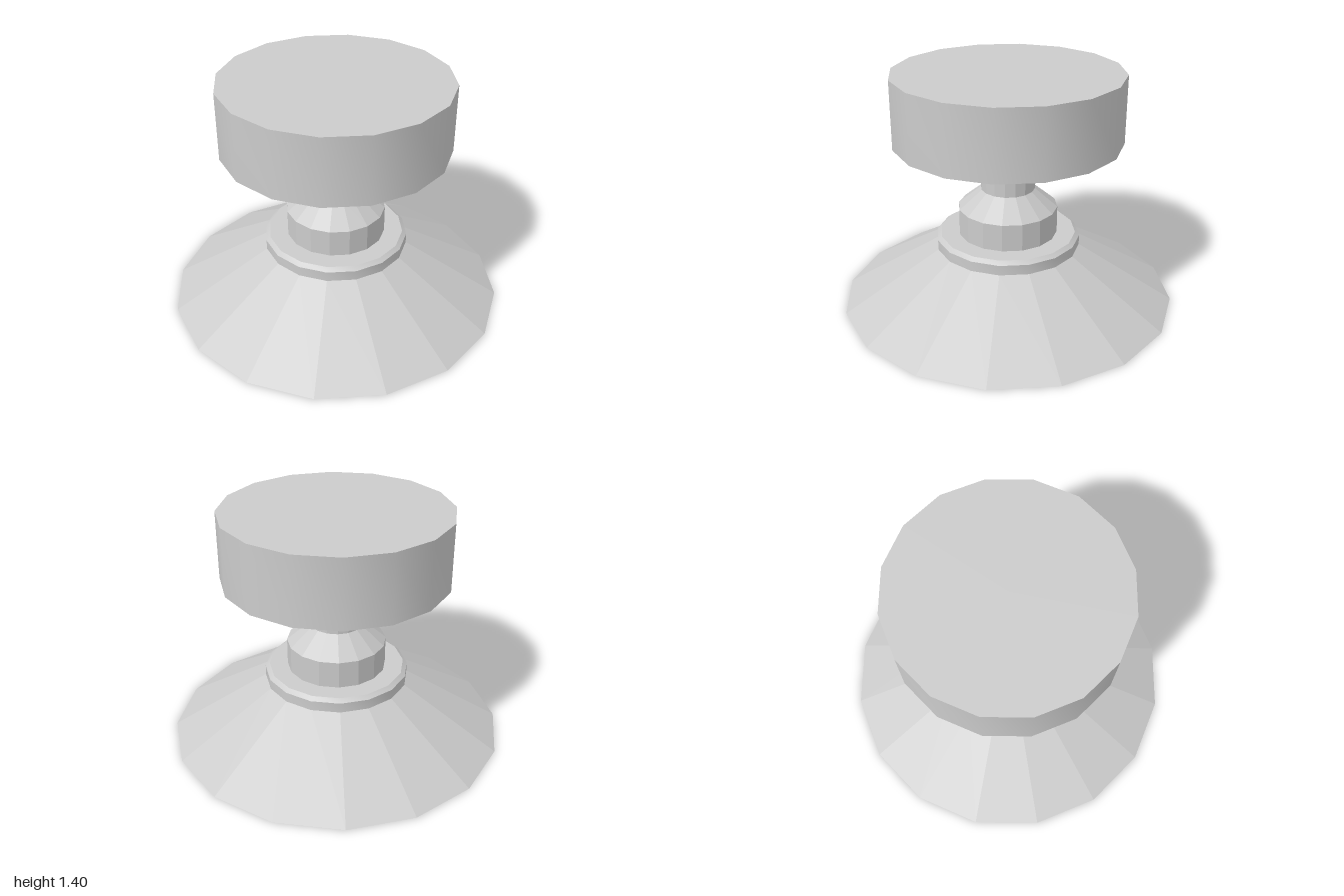
import * as THREE from 'three';
import { toCreasedNormals } from 'three/addons/utils/BufferGeometryUtils.js';

const SIDES = 16;

// Turns a [radius, height] profile, listed from underside to top, around the y axis
function turned(name, profile, smooth) {
  const points = profile.map(([r, y]) => new THREE.Vector2(r, y));
  let geometry = new THREE.LatheGeometry(points, SIDES);
  if (smooth) geometry = toCreasedNormals(geometry, 0.5);
  const material = new THREE.MeshStandardMaterial({ color: 0xcccccc, flatShading: !smooth });
  const mesh = new THREE.Mesh(geometry, material);
  mesh.name = name;
  return mesh;
}

export function createModel() {
  const model = new THREE.Group();
  model.name = 'plunger';
  model.add(
    // Hollow flared cup with a flat rim
    turned('flaredCup', [[0, 0.32], [0.38, 0.32], [0.915, 0], [1, 0], [0.43, 0.345]], false),
    // Bevelled collar on top of the cup
    turned('collar', [[0.43, 0.345], [0.43, 0.405], [0.405, 0.425], [0.295, 0.425]], true),
    // Hub tapering into the stem
    turned('hub', [[0.295, 0.425], [0.295, 0.587], [0.16, 0.70]], false),
    turned('stem', [[0.16, 0.70], [0.16, 0.98]], false),
    // Broad cap with a slightly conical underside
    turned('cap', [[0, 0.975], [0.16, 0.98], [0.667, 1], [0.667, 1.4], [0, 1.4]], true)
  );
  return model;
}
